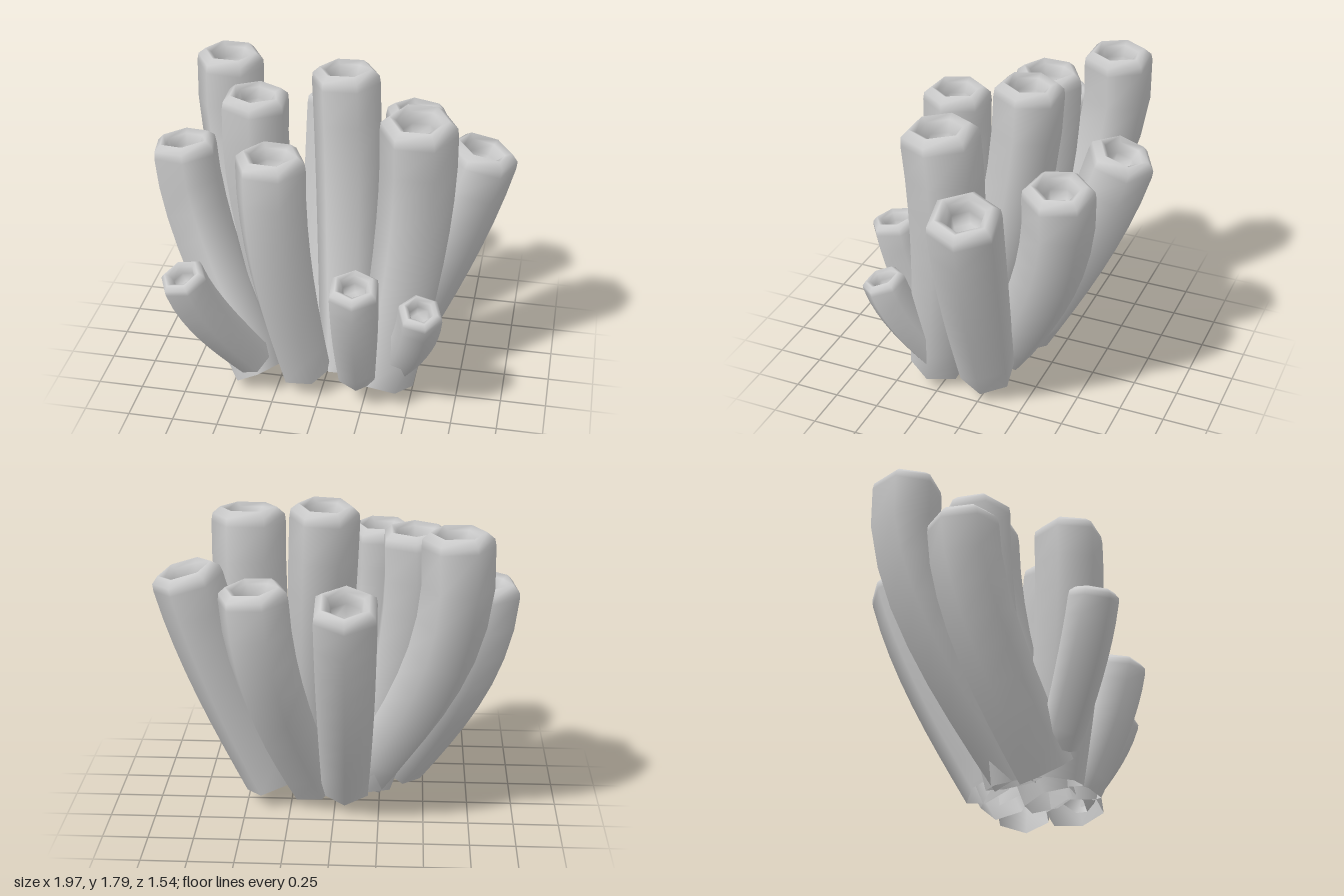
import * as THREE from 'three';

// Each tube: mouth radius, hexagon turn in degrees, bow in x and in z, foot centre, mouth centre.
// Bow 0 leans in a straight line; 1 ends upright; above 1 curls back at the mouth.
const TUBES = [
  ['backLeftTube', 0.19, 0, [1.4, 1.3], [-0.18, 0.13, 0.12], [-0.643, 1.72, -0.365]],
  ['backTube', 0.185, 30, [1, 0.35], [-0.06, 0.13, -0.06], [-0.08, 1.42, -0.605]],
  ['backRightTube', 0.19, 10, [0.8, 1.2], [0.12, 0.13, -0.02], [0.41, 1.43, -0.425]],
  ['rightTube', 0.195, -8, [0.3, 0.3], [0.36, 0.12, 0], [0.81, 1.41, -0.08]],
  ['frontRightTube', 0.205, 0, [1.3, 3], [0.35, 0.1, 0.3], [0.485, 1.68, 0.195]],
  ['smallRightTube', 0.122, 10, [0.8, 0.4], [0.42, 0.19, 0.27], [0.567, 0.74, 0.525]],
  ['smallFrontTube', 0.142, 25, [1, 0.5], [0.21, 0.17, 0.37], [0.225, 0.91, 0.61]],
  ['frontTube', 0.19, 5, [1.2, 1.4], [-0.1, 0.12, 0.3], [-0.243, 1.53, 0.43]],
  ['smallLeftTube', 0.13, 5, [0.5, 0.5], [-0.37, 0.21, 0.39], [-0.68, 0.9, 0.66]],
  ['leftTube', 0.187, 20, [0.9, 1], [-0.36, 0.08, 0.32], [-0.825, 1.35, 0.005]],
  ['innerLeftTube', 0.19, 28, [1.4, 1], [-0.18, 0.1, 0.1], [-0.427, 1.64, -0.04]],
  ['centreTube', 0.187, 2, [0, 1], [0.12, 0.1, 0.22], [0.047, 1.785, -0.12]],
];

const SIDES = 6;
const BODY_RINGS = 8;
const FOOT_RATIO = 0.8;
// Rounded lip and hollow: [distance past the mouth, radius], in mouth radii
const LIP = [[-0.18, 0.97], [0, 0.76], [-0.1, 0.58], [-0.4, 0.47], [-0.8, 0.42]];

const material = new THREE.MeshStandardMaterial({ color: 0xcccccc, side: THREE.DoubleSide });

// Centre line that rises evenly while its sideways drift eases off
function centreLine([bowX, bowZ], foot, mouth) {
  const points = [];
  for (let k = 0; k <= 5; k++) {
    const t = k / 5;
    const ease = Math.sin(t * Math.PI / 2) - t;
    points.push(new THREE.Vector3(
      THREE.MathUtils.lerp(foot[0], mouth[0], t + bowX * ease),
      THREE.MathUtils.lerp(foot[1], mouth[1], t),
      THREE.MathUtils.lerp(foot[2], mouth[2], t + bowZ * ease),
    ));
  }
  return new THREE.CatmullRomCurve3(points);
}

function tubeGeometry(radius, turn, curve) {
  const positions = [], indices = [];
  let rings = 0;

  // Hexagonal section square to the centre line
  function ring(t, r, shift = 0) {
    const along = curve.getTangentAt(t);
    const centre = curve.getPointAt(t).addScaledVector(along, shift);
    const u = new THREE.Vector3(1, 0, 0).addScaledVector(along, -along.x).normalize();
    const v = new THREE.Vector3().crossVectors(u, along);
    for (let i = 0; i < SIDES; i++) {
      const a = THREE.MathUtils.degToRad(turn) + (i / SIDES) * Math.PI * 2;
      const p = centre.clone()
        .addScaledVector(u, Math.cos(a) * r)
        .addScaledVector(v, Math.sin(a) * r);
      positions.push(p.x, p.y, p.z);
    }
    rings++;
  }

  // Body widening toward the mouth, open at the foot
  const bodyEnd = 1 - (0.4 * radius) / curve.getLength();
  for (let k = 0; k <= BODY_RINGS; k++) {
    const t = k / BODY_RINGS;
    const widen = Math.sin(t * Math.PI / 2);
    ring(t * bodyEnd, radius * THREE.MathUtils.lerp(FOOT_RATIO, 1, widen));
  }
  for (const [shift, r] of LIP) ring(1, r * radius, shift * radius);

  for (let k = 0; k < rings - 1; k++) {
    for (let i = 0; i < SIDES; i++) {
      const a = k * SIDES + i, b = k * SIDES + (i + 1) % SIDES;
      indices.push(a, a + SIDES, b, b, a + SIDES, b + SIDES);
    }
  }

  // Floor of the hollow
  const last = (rings - 1) * SIDES;
  for (let i = 1; i < SIDES - 1; i++) indices.push(last, last + i + 1, last + i);

  const geometry = new THREE.BufferGeometry();
  geometry.setAttribute('position', new THREE.Float32BufferAttribute(positions, 3));
  geometry.setIndex(indices);
  geometry.computeVertexNormals();
  return geometry;
}

export function createModel() {
  const model = new THREE.Group();
  model.name = 'tubeSponge';
  for (const [name, radius, turn, bow, foot, mouth] of TUBES) {
    const curve = centreLine(bow, foot, mouth);
    const tube = new THREE.Mesh(tubeGeometry(radius, turn, curve), material);
    tube.name = name;
    model.add(tube);
  }
  return model;
}
